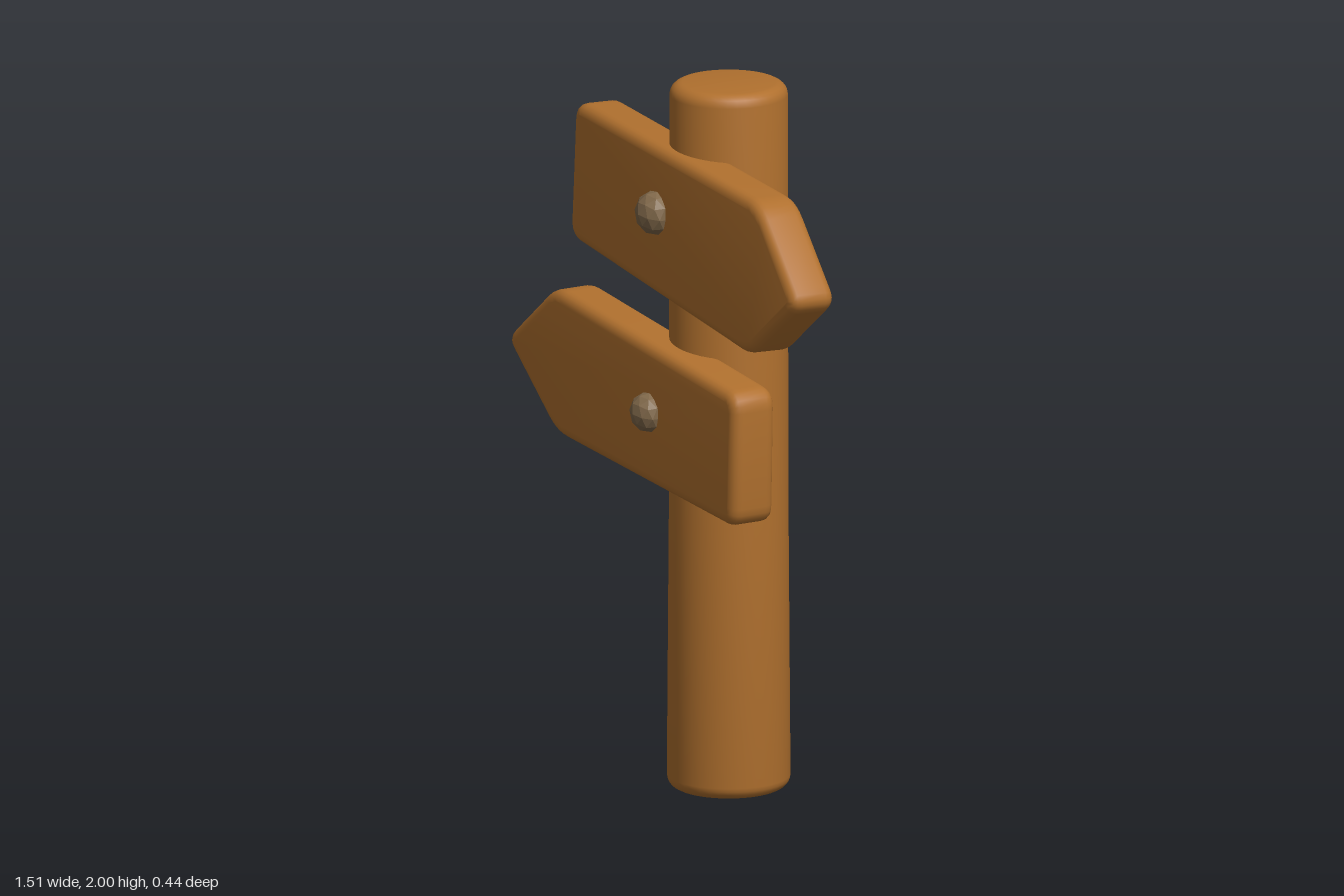
import * as THREE from 'three';
import { toCreasedNormals } from 'three/addons/utils/BufferGeometryUtils.js';

const THICK = 0.137, BEVEL = 0.03;

// Closed outline whose corners are softened by a distance r
function roundedOutline(points, r) {
  const pts = points.map(([x, y]) => new THREE.Vector2(x, y));
  const toward = (a, b) => a.clone().add(b.clone().sub(a).setLength(r));
  const shape = new THREE.Shape();
  pts.forEach((p, i) => {
    const prev = pts[(i + pts.length - 1) % pts.length];
    const next = pts[(i + 1) % pts.length];
    const a = toward(p, prev), b = toward(p, next);
    if (i === 0) shape.moveTo(a.x, a.y);
    else shape.lineTo(a.x, a.y);
    shape.quadraticCurveTo(p.x, p.y, b.x, b.y);
  });
  shape.closePath();
  return shape;
}

// Arrow board with soft edges, centred on its own thickness
function boardGeometry(points) {
  const geo = new THREE.ExtrudeGeometry(roundedOutline(points, 0.055), {
    depth: THICK - 2 * BEVEL, bevelEnabled: true, bevelThickness: BEVEL,
    bevelSize: BEVEL, bevelOffset: -BEVEL, bevelSegments: 4, curveSegments: 5,
  });
  geo.translate(0, 0, -THICK / 2 + BEVEL);
  return toCreasedNormals(geo, 0.7);
}

export function createModel() {
  const wood = new THREE.MeshStandardMaterial({ color: 0xb0702e });
  wood.name = 'wood';
  const iron = new THREE.MeshStandardMaterial({ color: 0x80684a, flatShading: true });
  iron.name = 'dull iron';

  const model = new THREE.Group();
  model.name = 'signpost';
  const add = (parent, name, geo, mat) => {
    const mesh = new THREE.Mesh(geo, mat);
    mesh.name = name;
    parent.add(mesh);
    return mesh;
  };

  // Slightly tapered post with rounded rims
  const profile = [[0, 0], [0.135, 0]];
  const rim = 0.035, arc = 5;
  for (let i = 0; i <= arc; i++) {
    const a = (i / arc) * Math.PI / 2;
    profile.push([0.135 + rim * Math.sin(a), rim * (1 - Math.cos(a))]);
  }
  profile.push([0.164, 0.85]);
  for (let i = 0; i <= arc; i++) {
    const a = (i / arc) * Math.PI / 2;
    profile.push([0.128 + rim * Math.cos(a), 2 - rim + rim * Math.sin(a)]);
  }
  profile.push([0, 2]);
  const points = profile
    .filter((p, i) => i === 0 || Math.hypot(p[0] - profile[i - 1][0], p[1] - profile[i - 1][1]) > 1e-5)
    .map(([x, y]) => new THREE.Vector2(x, y));
  const postGeo = toCreasedNormals(new THREE.LatheGeometry(points, 40), 0.6);
  add(model, 'post', postGeo, wood).position.set(0.053, 0, -0.05);

  // Boards: outlines are relative to the nail height y
  const boards = [
    { name: 'upperBoard', y: 1.64, z: 0.08, yaw: -0.093, pitch: -0.035, nail: 0.062,
      outline: [[-0.485, -0.175], [0.515, -0.29], [0.775, -0.09], [0.54, 0.15], [-0.48, 0.215]] },
    { name: 'lowerBoard', y: 1.08, z: 0.104, yaw: -0.07, pitch: 0, nail: 0.056,
      outline: [[-0.515, -0.175], [0.438, -0.235], [0.448, 0.148], [-0.525, 0.24], [-0.78, 0.04]] },
  ];
  for (const b of boards) {
    const sign = new THREE.Group();
    sign.name = b.name;
    sign.position.set(0, b.y, b.z);
    sign.rotation.set(b.pitch, b.yaw, 0);
    add(sign, 'plank', boardGeometry(b.outline), wood);
    // Chunky faceted nail head
    const nail = add(sign, 'nailHead', new THREE.IcosahedronGeometry(b.nail, 1), iron);
    nail.position.set(-0.012, 0, THICK / 2 + 0.002);
    nail.scale.z = 0.85;
    nail.rotation.z = 0.4;
    model.add(sign);
  }
  return model;
}
